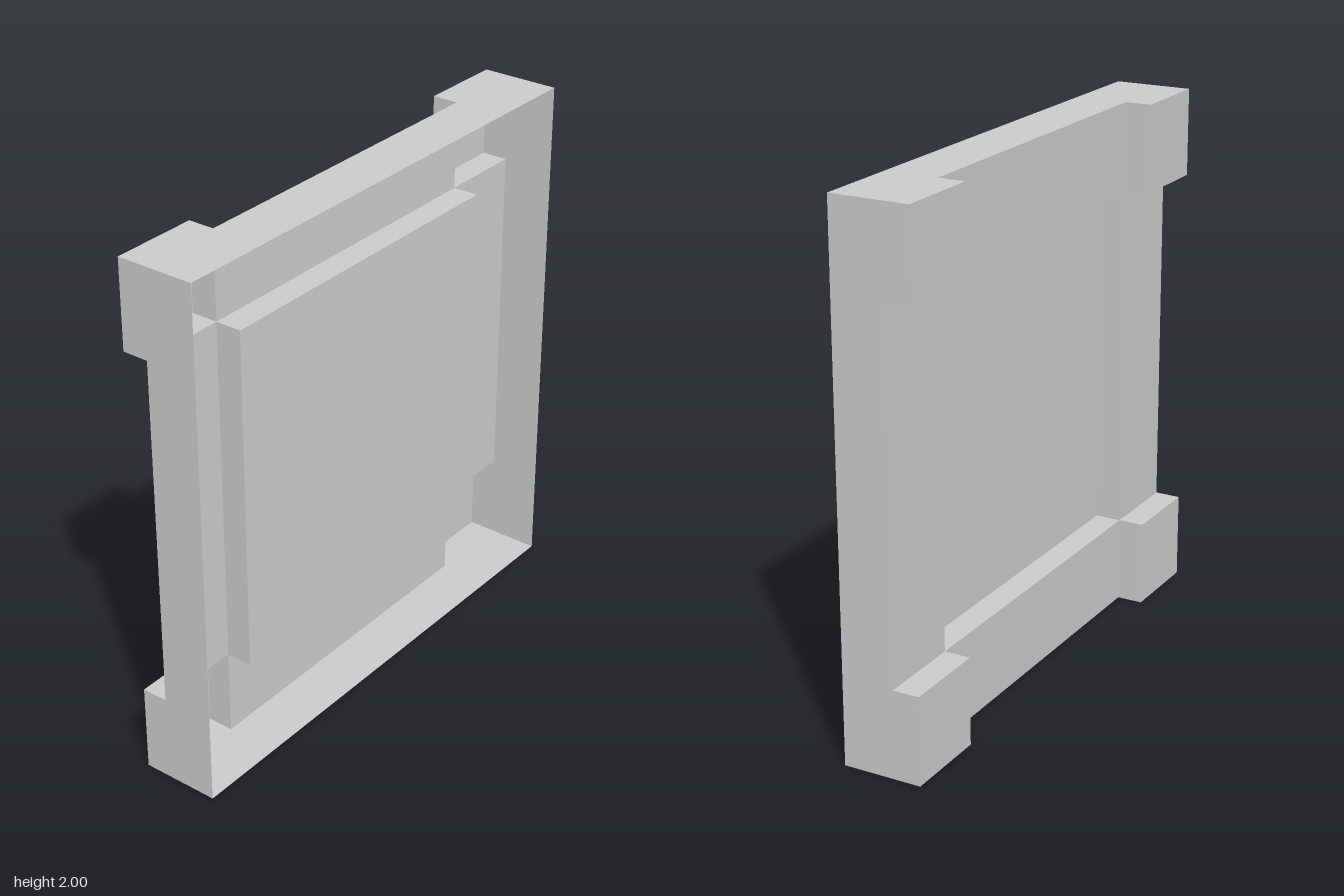
import * as THREE from 'three';

const FRONT = 0.15;          // open front rim
const INNER = 2 / 3;         // distance of the inner steps from the centre
const BAND = 1 / 3;          // width of the border strips
const SIDES = [-1, 1];

// Depth of the sheet: middle panel, border strips, then corner pockets
const depth = (i, j) => 0.05 - 0.1 * (Math.abs(i) + Math.abs(j));
const centre = (i) => i * (1 - BAND / 2);
const span = (i) => (i === 0 ? 2 * INNER : BAND);

export function createModel() {
  const model = new THREE.Group();
  model.name = 'steppedPanel';
  const material = new THREE.MeshStandardMaterial({
    color: 0xcccccc, flatShading: true, side: THREE.DoubleSide,
  });

  function sheet(name, w, h, x, y, z, rotX = 0, rotY = 0) {
    const mesh = new THREE.Mesh(new THREE.PlaneGeometry(w, h), material);
    mesh.name = name;
    mesh.rotation.set(rotX, rotY, 0);
    mesh.position.set(x, y + 1, z);
    model.add(mesh);
  }

  // Nine flat faces of the thin shell, facing the back
  for (const i of [-1, 0, 1]) {
    for (const j of [-1, 0, 1]) {
      const name = ['middlePanel', 'borderStrip', 'cornerPad'][Math.abs(i) + Math.abs(j)];
      sheet(name, span(i), span(j), centre(i), centre(j), depth(i, j), 0, Math.PI);
    }
  }

  // Outer walls and inner steps, one piece for each band
  for (const k of [-1, 0, 1]) {
    const edge = depth(1, k);
    const mid = depth(0, k);
    const walls = [
      { name: 'Wall', at: 1, from: FRONT, to: edge, turn: 1 },
      { name: 'Step', at: INNER, from: mid, to: edge, turn: -1 },
    ];
    for (const { name, at, from, to, turn } of walls) {
      const d = from - to;
      const z = (from + to) / 2;
      for (const s of SIDES) {
        const angle = (s * turn * Math.PI) / 2;
        sheet('side' + name, d, span(k), s * at, centre(k), z, 0, angle);
        sheet((s > 0 ? 'top' : 'bottom') + name, span(k), d, centre(k), s * at, z, -angle, 0);
      }
    }
  }
  return model;
}
